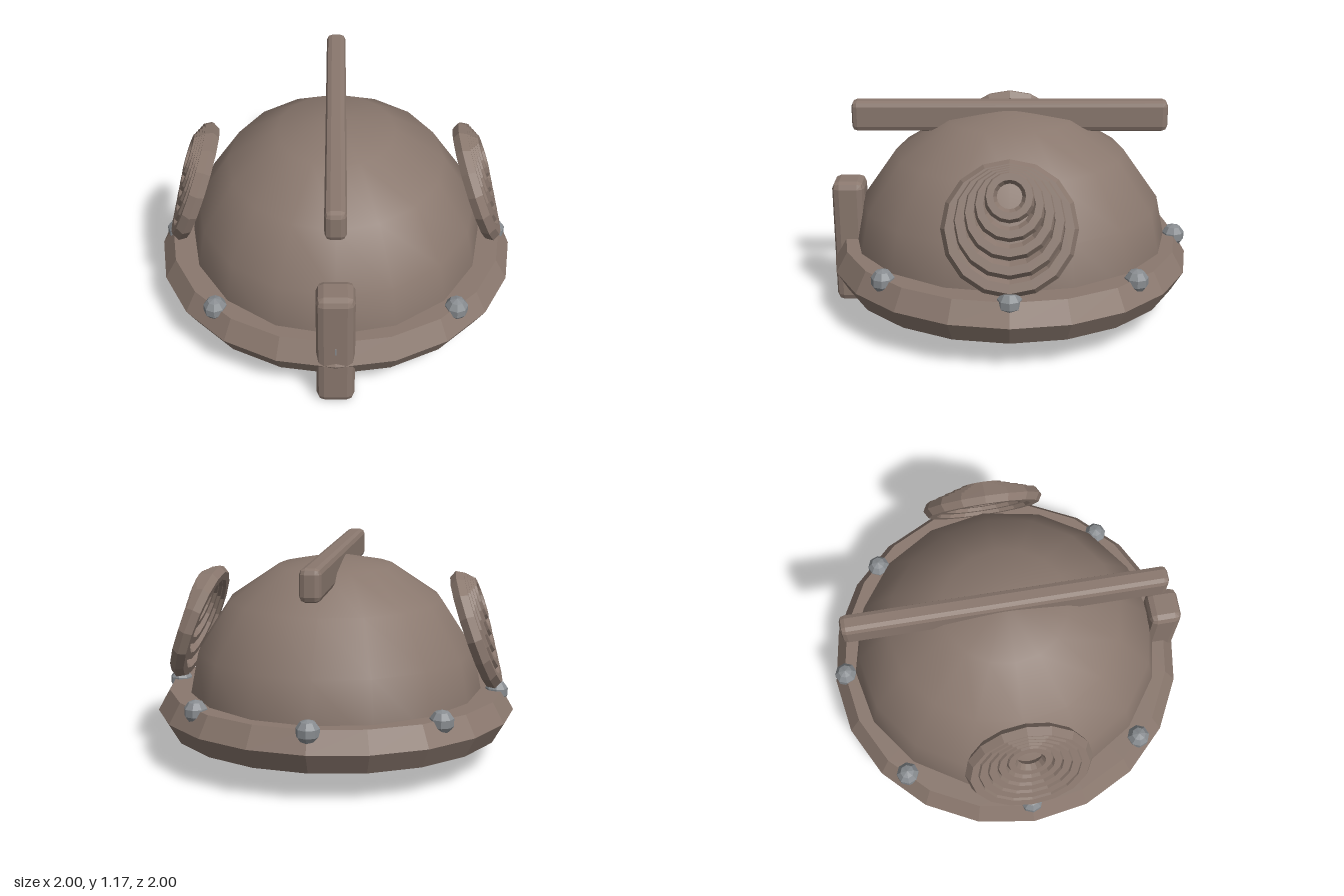
import * as THREE from 'three';
import { RoundedBoxGeometry } from 'three/addons/geometries/RoundedBoxGeometry.js';

// Faceted version of a geometry
function faceted(geometry) {
  const g = geometry.index ? geometry.toNonIndexed() : geometry;
  g.computeVertexNormals();
  return g;
}

export function createModel() {
  const model = new THREE.Group();
  model.name = 'helmet';
  const bronze = new THREE.MeshStandardMaterial({ color: 0x8a786e });
  bronze.name = 'dull bronze';
  const steel = new THREE.MeshStandardMaterial({ color: 0x888c90 });
  steel.name = 'steel';

  function add(parent, name, geometry, material, x, y, z) {
    const mesh = new THREE.Mesh(geometry, material);
    mesh.name = name;
    mesh.position.set(x, y, z);
    parent.add(mesh);
    return mesh;
  }

  const rimY = 0.273;

  // Smooth half-sphere, slightly longer than wide
  const dome = add(model, 'dome',
    new THREE.SphereGeometry(0.85, 16, 4, 0, Math.PI * 2, 0, Math.PI / 2), bronze, 0, 0.28, 0);
  dome.scale.set(0.985, 1.002, 1.053);

  // Flat underside closing the dome, its edge buried in the rim
  const underside = add(model, 'underside', new THREE.CircleGeometry(0.82, 20), bronze, 0, 0.24, 0);
  underside.rotation.x = Math.PI / 2;

  // Six-sided rim
  const rim = add(model, 'rim', faceted(new THREE.TorusGeometry(0.87, 0.13, 6, 20)), bronze, 0, rimY, 0);
  rim.rotation.x = Math.PI / 2;

  // Crest bar and nose guard with bevelled edges
  add(model, 'crestBar', faceted(new RoundedBoxGeometry(0.11, 0.17, 1.73, 1, 0.03)), bronze, 0, 1.083, 0);
  add(model, 'noseGuard', faceted(new RoundedBoxGeometry(0.2, 0.715, 0.18, 1, 0.04)), bronze, 0, 0.3575, 0.9);

  // Rivets around the rim
  const rivetGeometry = faceted(new THREE.SphereGeometry(0.065, 8, 5));
  for (let i = 0; i < 8; i++) {
    const a = (i * Math.PI) / 4;
    add(model, 'rivet', rivetGeometry, steel, Math.sin(a) * 0.905, 0.373, Math.cos(a) * 0.93);
  }

  // Coiled horns: shrinking rings that step outward and up on a tilted plane
  for (const turn of [0, Math.PI]) {
    const side = new THREE.Group();
    side.name = turn ? 'rightHorn' : 'leftHorn';
    side.rotation.y = turn;
    const coil = new THREE.Group();
    coil.name = 'hornCoil';
    coil.position.set(0.785, 0.72, 0);
    coil.rotation.z = 0.36;
    for (let i = 0; i < 5; i++) {
      const ring = add(coil, 'hornRing',
        faceted(new THREE.TorusGeometry(0.298 - 0.05 * i, 0.047 - 0.003 * i, 6, 16)),
        bronze, 0.014 * i, 0.04 * i, 0);
      ring.rotation.y = Math.PI / 2;
    }
    side.add(coil);
    model.add(side);
  }

  return model;
}
